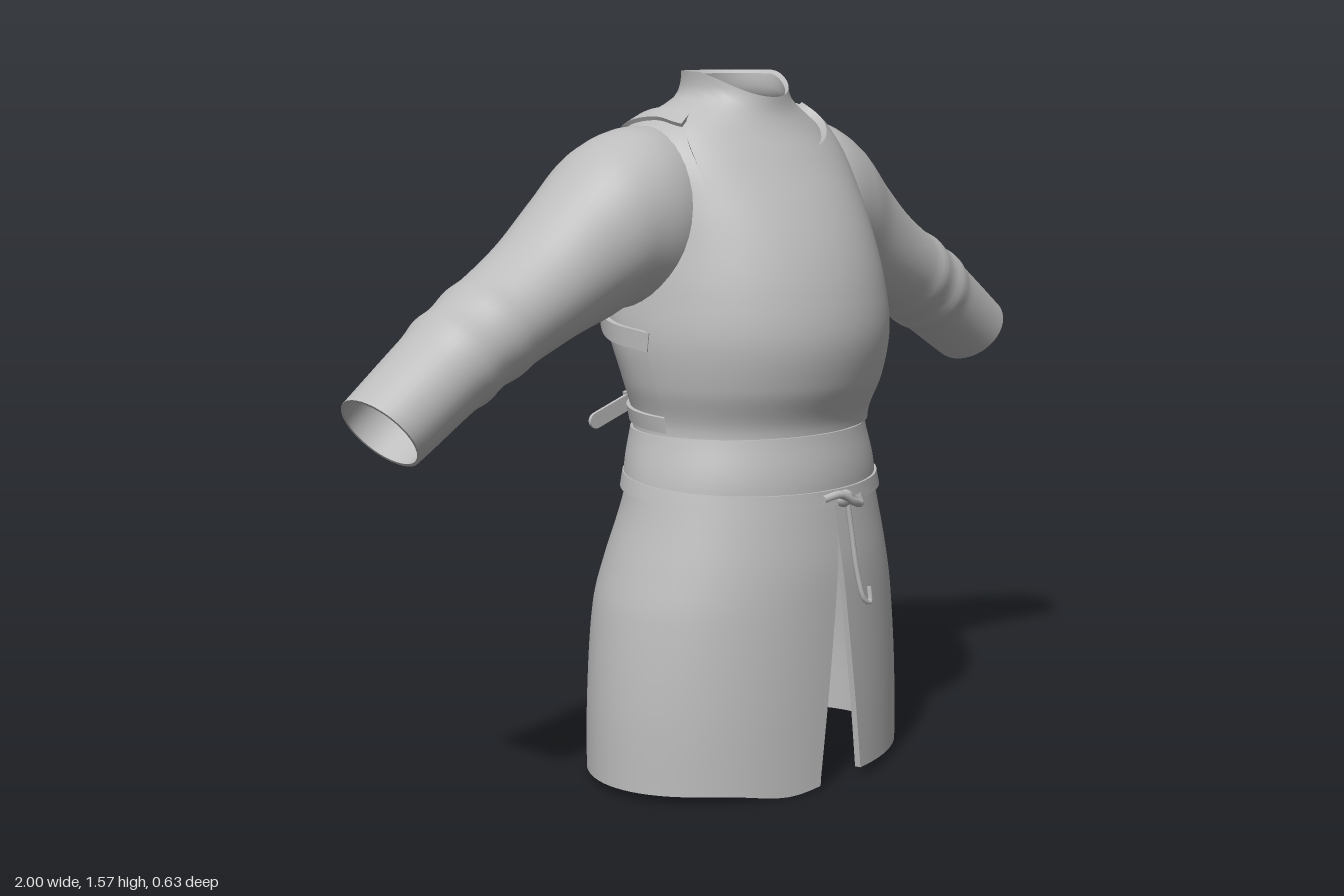
import * as THREE from 'three';
import { mergeGeometries, mergeVertices } from 'three/addons/utils/BufferGeometryUtils.js';

const CX = 0.0225; // the garment hangs slightly off the middle

// y, half width, back z, front z, middle z, squareness of the back
const PROFILE = [
  [0.00, 0.406, -0.310, 0.285, -0.010, 1.00],
  [0.20, 0.401, -0.310, 0.285, -0.010, 1.00],
  [0.40, 0.379, -0.304, 0.282, -0.010, 1.00],
  [0.50, 0.354, -0.280, 0.278, -0.005, 1.00],
  [0.60, 0.324, -0.250, 0.266, 0.005, 1.00],
  [0.66, 0.309, -0.235, 0.258, 0.005, 1.00],
  [0.80, 0.278, -0.228, 0.243, 0.000, 0.95],
  [0.90, 0.305, -0.232, 0.283, -0.010, 0.90],
  [1.00, 0.322, -0.248, 0.304, -0.030, 0.80],
  [1.10, 0.316, -0.273, 0.294, -0.040, 0.75],
  [1.20, 0.302, -0.292, 0.264, -0.045, 0.75],
  [1.30, 0.293, -0.296, 0.214, -0.055, 0.75],
  [1.38, 0.287, -0.277, 0.158, -0.070, 0.80],
  [1.44, 0.255, -0.243, 0.112, -0.080, 0.90],
  [1.48, 0.190, -0.200, 0.090, -0.070, 1.00],
  [1.51, 0.132, -0.174, 0.084, -0.050, 1.00],
  [1.54, 0.120, -0.160, 0.080, -0.040, 1.00],
  [1.58, 0.122, -0.152, 0.078, -0.038, 1.00],
];

// Smooth lookup in a table whose first column is the key
function lookup(rows, key) {
  const n = rows.length;
  let i = 0;
  while (i < n - 2 && key > rows[i + 1][0]) i++;
  const a = rows[i], b = rows[i + 1], p = rows[Math.max(0, i - 1)], q = rows[Math.min(n - 1, i + 2)];
  const h = b[0] - a[0], t = THREE.MathUtils.clamp((key - a[0]) / h, 0, 1), t2 = t * t, t3 = t2 * t;
  return a.map((va, k) => {
    const ma = (b[k] - p[k]) / (b[0] - p[0]) * h, mb = (q[k] - va) / (q[0] - a[0]) * h;
    return (2 * t3 - 3 * t2 + 1) * va + (t3 - 2 * t2 + t) * ma + (3 * t2 - 2 * t3) * b[k] + (t3 - t2) * mb;
  });
}

// Point on the garment: angle from the front towards +x, height, distance off the cloth
function onBody(angle, y, off = 0) {
  const [, hx, zb, zf, zc, p] = lookup(PROFILE, y);
  const c = Math.cos(angle);
  const z = c >= 0 ? zc + (zf - zc + off) * c : zc - (zc - zb + off) * Math.pow(-c, p);
  return new THREE.Vector3(CX + (hx + off) * Math.sin(angle), y + off * THREE.MathUtils.smoothstep(y, 1.3, 1.47), z);
}

// Grid surface from f(u, v)
function patch(f, nu, nv, flip = false) {
  const pos = [], idx = [];
  for (let j = 0; j <= nv; j++) for (let i = 0; i <= nu; i++) pos.push(...f(i / nu, j / nv).toArray());
  for (let j = 0; j < nv; j++) for (let i = 0; i < nu; i++) {
    const a = j * (nu + 1) + i, b = a + 1, d = a + nu + 1, c = d + 1;
    idx.push(...(flip ? [a, d, b, b, d, c] : [a, b, d, b, c, d]));
  }
  let g = new THREE.BufferGeometry();
  g.setAttribute('position', new THREE.Float32BufferAttribute(pos, 3));
  g.setIndex(idx);
  g = mergeVertices(g, 1e-5);
  g.computeVertexNormals();
  return g;
}

// Cloth with thickness: f(u, v, off), with rims along its open edges
function shell(f, nu, nv, outer, inner, closed = false, flip = false) {
  const mix = (t) => inner + (outer - inner) * t;
  const parts = [
    patch((u, v) => f(u, v, outer), nu, nv, flip),
    patch((u, v) => f(u, v, inner), nu, nv, !flip),
    patch((u, t) => f(u, 0, mix(t)), nu, 1, flip),
    patch((u, t) => f(u, 1, mix(t)), nu, 1, !flip),
  ];
  if (!closed) parts.push(
    patch((t, v) => f(0, v, mix(t)), 1, nv, flip),
    patch((t, v) => f(1, v, mix(t)), 1, nv, !flip));
  return mergeGeometries(parts);
}

// Flat band through [angle, y] points lying on the garment
function bandOnBody(points, width, outer, n = 60) {
  const curve = new THREE.CatmullRomCurve3(points.map(([a, y]) => new THREE.Vector3(a, y, 0)));
  const at = (u, off) => { const p = curve.getPoint(u); return onBody(p.x, p.y, off); };
  return shell((u, v, off) => {
    const c = curve.getPoint(u), e = 0.01;
    const along = at(Math.min(1, u + e), 0).sub(at(Math.max(0, u - e), 0)).normalize();
    const du = onBody(c.x + e, c.y).sub(onBody(c.x - e, c.y));
    const dv = onBody(c.x, c.y + e).sub(onBody(c.x, c.y - e));
    const normal = du.cross(dv).normalize();
    const side = normal.clone().cross(along).normalize();
    return at(u, 0).addScaledVector(normal, off).addScaledVector(side, (v - 0.5) * width);
  }, n, 2, outer, outer - 0.012);
}

// Sleeve sections: x, y, lean, half height, half depth, middle z
const SLEEVE = [
  [0.12, 1.260, 0.03, 0.175, 0.130, -0.075],
  [0.26, 1.257, 0.09, 0.198, 0.165, -0.080],
  [0.36, 1.240, 0.16, 0.177, 0.165, -0.090],
  [0.442, 1.185, 0.30, 0.151, 0.150, -0.095],
  [0.55, 1.120, 0.42, 0.121, 0.136, -0.095],
  [0.745, 1.018, 0.47, 0.103, 0.119, -0.095],
  [0.943, 0.888, 0.66, 0.0925, 0.101, -0.092],
];

function sleeve(side) {
  return shell((u, v, off) => {
    const [x, y, lean, a, b, zc] = lookup(SLEEVE, 0.12 + 0.823 * v);
    const ang = u * Math.PI * 2, t = THREE.MathUtils.smoothstep(x, 0.4, 0.943);
    // creases around the elbow
    const fold = 0.006 * Math.exp(-(((x - 0.76) / 0.02) ** 2)) + 0.005 * Math.exp(-(((x - 0.68) / 0.022) ** 2));
    const up = (a + off + fold) * Math.cos(ang);
    return new THREE.Vector3(
      side * (x + up * Math.sin(lean)) + CX * (1 - t),
      y + up * Math.cos(lean) + side * 0.018 * t,
      zc + (b + off + fold) * Math.sin(ang));
  }, 40, 56, 0, -0.007, true, side < 0);
}

export function createModel() {
  const group = new THREE.Group();
  const cloth = new THREE.MeshStandardMaterial({ color: 0xbcbcbc, side: THREE.DoubleSide });
  cloth.name = 'grey cloth';
  const add = (name, geometry) => {
    const mesh = new THREE.Mesh(geometry, cloth);
    mesh.name = name;
    group.add(mesh);
    return mesh;
  };
  const { lerp, clamp } = THREE.MathUtils;
  const TAU = Math.PI * 2;

  // Shirt body with a standing collar cut lower at the front
  add('shirtBody', shell((u, v, off) => {
    const a = u * TAU, top = 1.569 - 0.055 * Math.pow(Math.max(0, Math.cos(a)), 1.5);
    return onBody(a, lerp(0.65, top, v), off);
  }, 72, 64, 0, -0.008, true));

  // Skirt, slit at the front
  add('skirt', shell((u, v, off) => {
    const hem = 0.022 - 0.02 * Math.exp(-(((u - 0.965) / 0.045) ** 2));
    const y = lerp(hem, 0.67, v), slit = clamp((0.57 - y) / 0.55, 0, 1);
    return onBody(lerp(0.178 * slit, TAU - 0.158 * slit, u), y, off);
  }, 80, 40, 0.002, -0.012));

  // Sash around the waist
  add('waistSash', shell((u, v, off) =>
    onBody(u * TAU, lerp(0.66, 0.79, v), off + 0.006 * Math.sin(v * Math.PI)), 72, 8, 0.006, -0.006, true));

  // Belt, a little higher at the back
  add('belt', shell((u, v, off) => {
    const a = u * TAU;
    return onBody(a, 0.667 - 0.016 * Math.cos(a) + (v - 0.5) * 0.034, off);
  }, 72, 2, 0.013, -0.002, true));

  // Bib with round neckline and cut-away armholes
  const EDGE = [[0.79, 1.45], [0.92, 1.44], [1.03, 1.43], [1.06, 1.36], [1.10, 1.14], [1.16, 1.01],
    [1.25, 0.95], [1.35, 0.91], [1.44, 1.0], [1.49, 1.14]];
  add('bib', shell((u, v, off) => {
    const s = u * 2 - 1, y = lerp(0.795, 1.395 + 0.09 * s * s, v);
    return onBody(s * lookup(EDGE, y)[1], y, off);
  }, 48, 64, 0.012, -0.002));

  // Strap around the back of the waist
  add('waistStrap', bandOnBody([[1.4, 0.815], [2.3, 0.825], [3.14, 0.83], [4, 0.825], [4.88, 0.815]], 0.035, 0.009));

  // Flat loose strap end between two points
  const looseEnd = (name, from, to, width) => {
    const a = new THREE.Vector3(...from), b = new THREE.Vector3(...to), len = a.distanceTo(b), r = width / 2;
    const s = new THREE.Shape();
    s.moveTo(0, -r);
    s.lineTo(len - r, -r);
    s.absarc(len - r, 0, r, -Math.PI / 2, Math.PI / 2);
    s.lineTo(0, r);
    const mesh = add(name, new THREE.ExtrudeGeometry(s, { depth: 0.008, bevelEnabled: false, curveSegments: 8 }));
    const x = b.clone().sub(a).normalize();
    const y = new THREE.Vector3(0, 0, 1).cross(x).normalize();
    mesh.quaternion.setFromRotationMatrix(new THREE.Matrix4().makeBasis(x, y, x.clone().cross(y)));
    mesh.position.copy(a);
  };

  // Buckle frame facing backwards
  const buckle = (name, x, y, z, turn, size) => {
    const s = new THREE.Shape([[-1, -1], [1, -1], [1, 1], [-1, 1]].map(([p, q]) => new THREE.Vector2(p * size, q * size * 0.85)));
    s.holes.push(new THREE.Path([[-1, -1], [-1, 1], [1, 1], [1, -1]].map(([p, q]) => new THREE.Vector2(p * size * 0.7, q * size * 0.55))));
    const mesh = add(name, new THREE.ExtrudeGeometry(s, { depth: 0.01, bevelEnabled: false }));
    mesh.position.set(x, y, z);
    mesh.rotation.z = turn;
  };

  for (const side of [1, -1]) {
    const label = side > 0 ? 'left' : 'right';
    add(label + 'Sleeve', sleeve(side));
    // Shoulder strap crosses the back and runs under the other arm
    const path = [[1.1, 1.465], [1.55, 1.476], [2.25, 1.455], [2.75, 1.41], [3.14, 1.33],
      [3.5, 1.21], [3.75, 1.12], [4.3, 1.03], [4.86, 1.0]];
    add(label + 'ShoulderStrap', bandOnBody(path.map(([a, y]) => [side * a, y]), 0.042, side > 0 ? 0.014 : 0.009, 90));
    looseEnd(label + 'StrapEnd', [CX - side * 0.12, 1.175, -0.300], [CX - side * 0.275, 1.01, -0.296], 0.04);
    buckle(label + 'StrapBuckle', CX - side * 0.14, 1.155, -0.310, side * 0.82, 0.03);
  }
  looseEnd('waistStrapEnd', [-0.09, 0.835, -0.238], [-0.235, 0.785, -0.246], 0.036);
  buckle('waistBuckle', -0.10, 0.832, -0.245, 0.3, 0.026);

  // Belt knot and hanging cord
  const knot = add('beltKnot', new THREE.SphereGeometry(0.024, 16, 12));
  knot.position.set(0.045, 0.645, 0.272);
  knot.scale.set(1.1, 0.8, 0.6);
  const tube = (name, pts, r) => add(name, new THREE.TubeGeometry(
    new THREE.CatmullRomCurve3(pts.map((p) => new THREE.Vector3(...p))), 32, r, 8));
  tube('beltLoop', [[-0.025, 0.652, 0.272], [0.02, 0.658, 0.282], [0.06, 0.638, 0.284], [0.098, 0.628, 0.272], [0.095, 0.648, 0.268]], 0.009);
  tube('hangingCord', [[0.05, 0.64, 0.276], [0.06, 0.57, 0.280], [0.07, 0.48, 0.288], [0.085, 0.415, 0.297], [0.102, 0.405, 0.299], [0.105, 0.44, 0.294]], 0.006);
  return group;
}
